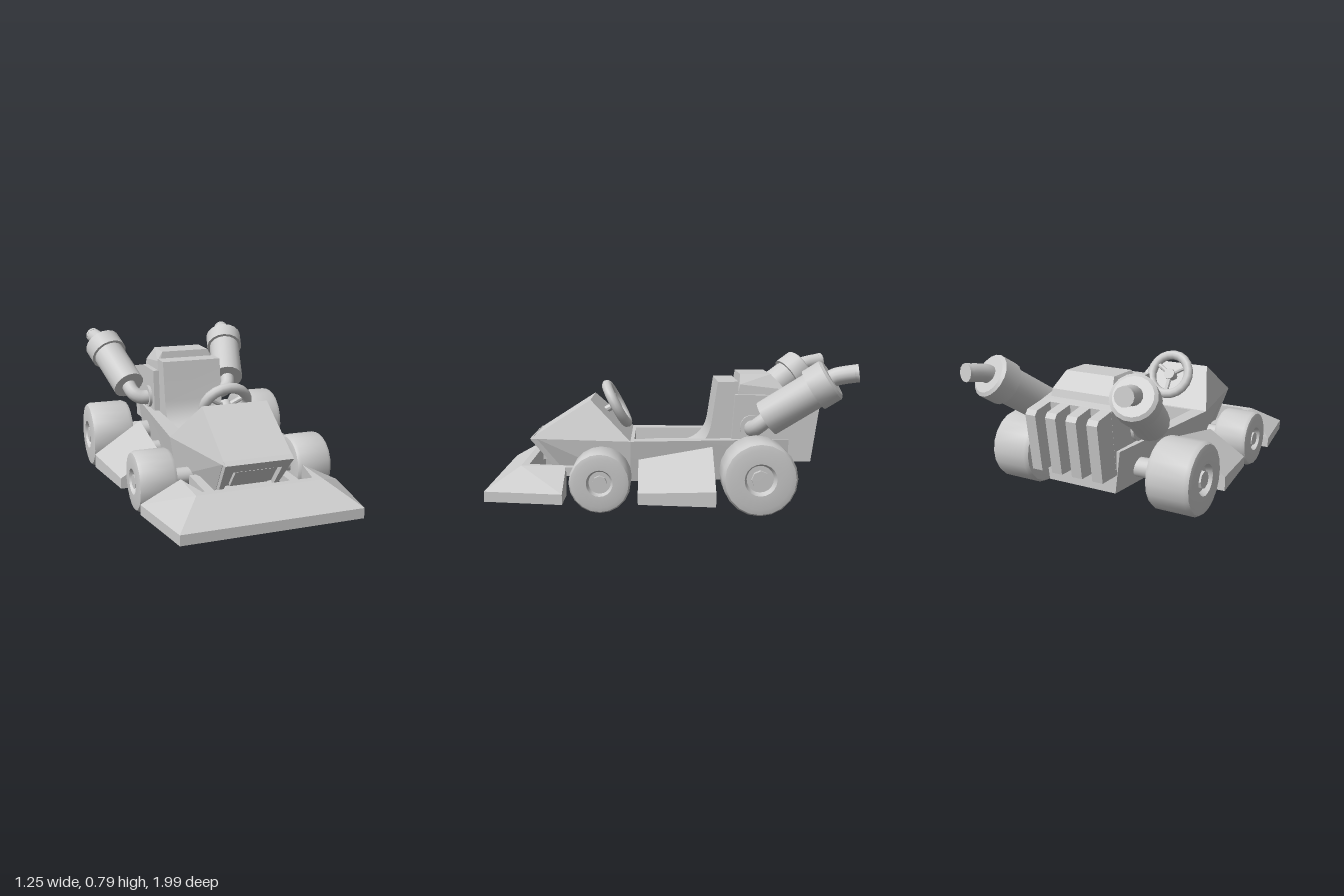
import * as THREE from 'three';
import { toCreasedNormals } from 'three/addons/utils/BufferGeometryUtils.js';
import { ConvexGeometry } from 'three/addons/geometries/ConvexGeometry.js';

const grey = new THREE.MeshStandardMaterial({ color: 0xcccccc });
const V = (x, y, z) => new THREE.Vector3(x, y, z);

function add(parent, name, geometry, crease = 0.6) {
  const mesh = new THREE.Mesh(toCreasedNormals(geometry, crease), grey);
  mesh.name = name;
  parent.add(mesh);
  return mesh;
}

function box(parent, name, [w, h, d], [x, y, z]) {
  return add(parent, name, new THREE.BoxGeometry(w, h, d).translate(x, y, z));
}

// Cylinder between two points
function rod(parent, name, a, b, radius, sides = 14) {
  const dir = b.clone().sub(a);
  const mesh = add(parent, name, new THREE.CylinderGeometry(radius, radius, dir.length(), sides));
  mesh.position.copy(a).add(b).multiplyScalar(0.5);
  mesh.quaternion.setFromUnitVectors(V(0, 1, 0), dir.normalize());
  return mesh;
}

function pipe(parent, name, points, radius) {
  const curve = new THREE.CatmullRomCurve3(points);
  return add(parent, name, new THREE.TubeGeometry(curve, 12, radius, 14), 1);
}

// Side profile given as a (z, y) shape, extruded across the width
function profile(parent, name, shape, width, x = 0) {
  const g = new THREE.ExtrudeGeometry(shape, { depth: width, bevelEnabled: false, curveSegments: 8 });
  g.translate(0, 0, -width / 2).rotateY(-Math.PI / 2).translate(x, 0, 0);
  return add(parent, name, g);
}

const outline = (pts) => new THREE.Shape(pts.map(([a, b]) => new THREE.Vector2(a, b)));

// Convex solid, points mirrored in x
function symmetricHull(parent, name, pts) {
  const all = pts.flatMap(([x, y, z]) => [V(x, y, z), V(-x, y, z)]);
  return add(parent, name, new ConvexGeometry(all), 0.05);
}

function hull(parent, name, pts) {
  return add(parent, name, new ConvexGeometry(pts.map((p) => V(...p))), 0.05);
}

function wheel(parent, name, r, width, [x, y, z]) {
  const g = new THREE.Group();
  g.name = name;
  const h = width / 2;
  const pts = [[0, -0.8], [0.36, -0.8], [0.43, -1], [0.8, -1], [0.94, -0.95], [1, -0.78], [1, 0.78],
    [0.94, 0.95], [0.8, 1], [0.43, 1], [0.36, 0.75], [0, 0.75]];
  const tyre = new THREE.LatheGeometry(pts.map(([a, b]) => new THREE.Vector2(a * r, b * h)), 20);
  add(g, 'tyre', tyre.rotateZ(-Math.PI / 2), 0.8);
  rod(g, 'wheelNut', V(h * 0.6, 0, 0), V(h * 0.95, 0, 0), r * 0.24, 8);
  g.position.set(x, y, z);
  parent.add(g);
}

// Everything on one side of the kart
function sideParts(sign) {
  const g = new THREE.Group();
  g.name = sign > 0 ? 'leftSide' : 'rightSide';
  wheel(g, 'frontWheel', 0.163, 0.21, [0.445, 0.17, 0.385]);
  wheel(g, 'rearWheel', 0.197, 0.255, [0.4925, 0.2, -0.45]);
  rod(g, 'frontAxle', V(0.1, 0.17, 0.385), V(0.38, 0.17, 0.385), 0.045);
  rod(g, 'rearAxle', V(0.1, 0.2, -0.45), V(0.42, 0.2, -0.45), 0.055);

  // Side pod with sloping top
  hull(g, 'sidePod', [
    [0.345, 0.06, 0.185], [0.345, 0.255, 0.185], [0.565, 0.06, 0.185], [0.565, 0.12, 0.185],
    [0.345, 0.06, -0.22], [0.345, 0.325, -0.22], [0.625, 0.06, -0.22], [0.625, 0.14, -0.22]]);
  for (const z of [0.11, -0.15]) rod(g, 'podRod', V(0.2, 0.17, z), V(0.37, 0.17, z), 0.04);

  // Bumper arm and strut
  hull(g, 'bumperArm', [
    [0.56, 0.06, 0.58], [0.56, 0.115, 0.58], [0.345, 0.06, 0.58], [0.345, 0.225, 0.58],
    [0.3, 0.06, 0.785], [0.3, 0.225, 0.785], [0.345, 0.225, 0.825], [0.3, 0.225, 0.825],
    [0.485, 0.06, 1], [0.485, 0.115, 1], [0.3, 0.06, 0.83]]);
  box(g, 'bumperStrut', [0.05, 0.05, 0.36], [0.235, 0.17, 0.64]);

  // Exhaust: elbow, muffler, collar and tip
  const a = V(0.335, 0.48, -0.515), b = V(0.43, 0.705, -0.845);
  const at = (t) => a.clone().lerp(b, t);
  rod(g, 'exhaustFlange', V(0.2, 0.415, -0.45), V(0.235, 0.415, -0.45), 0.068);
  pipe(g, 'exhaustElbow', [V(0.19, 0.415, -0.45), V(0.265, 0.41, -0.45), V(0.315, 0.435, -0.47), at(0.08)], 0.045);
  rod(g, 'muffler', at(0), at(0.8), 0.1, 18);
  rod(g, 'mufflerCollar', at(0.72), at(0.97), 0.118, 18);
  const rim = rod(g, 'mufflerRim', at(0.97), at(1), 1, 18);
  rim.geometry = toCreasedNormals(new THREE.CylinderGeometry(0.1, 0.118, a.distanceTo(b) * 0.03, 18), 0.4);
  pipe(g, 'exhaustTip', [at(0.93), at(1.04), V(0.445, 0.725, -0.9), V(0.462, 0.737, -0.975)], 0.048);
  const end = rod(g, 'exhaustTipEnd', V(0.458, 0.735, -0.955), V(0.463, 0.738, -0.977), 0.048);
  end.name = 'exhaustTipEnd';
  g.scale.x = sign;
  return g;
}

function chassis(parent) {
  // Tub: tapered outline with open cockpit, walls leaning in towards the bottom
  const shape = outline([[-0.293, -0.23], [0.293, -0.23], [0.237, 0.655], [-0.237, 0.655]]);
  shape.holes.push(new THREE.Path([[-0.2, -0.21], [-0.185, 0.62], [0.185, 0.62], [0.2, -0.21]]
    .map(([x, y]) => new THREE.Vector2(x, y))));
  const tub = new THREE.ExtrudeGeometry(shape, { depth: 0.23, bevelEnabled: false });
  tub.rotateX(-Math.PI / 2).translate(0, 0.115, 0);
  const p = tub.attributes.position;
  for (let i = 0; i < p.count; i++) {
    if (p.getY(i) < 0.2) p.setX(i, p.getX(i) * 0.88);
  }
  tub.computeVertexNormals();
  add(parent, 'tub', tub, 0.3);
  box(parent, 'floor', [0.37, 0.06, 0.85], [0, 0.165, -0.21]);
}

function nose(parent) {
  symmetricHull(parent, 'noseCowl', [[0.185, 0.565, 0.455], [0.293, 0.345, 0.23], [0.185, 0.345, 0.8]]);
  symmetricHull(parent, 'noseLower', [
    [0.293, 0.345, 0.23], [0.258, 0.115, 0.23], [0.185, 0.345, 0.762], [0.16, 0.115, 0.577]]);
  // Sloping front plate with a recessed grille
  const grille = new THREE.Group();
  grille.name = 'noseGrille';
  const plate = outline([[-0.185, 0], [-0.16, -0.295], [0.16, -0.295], [0.185, 0]]);
  plate.holes.push(new THREE.Path([[-0.14, -0.064], [0.14, -0.064], [0.14, -0.24], [-0.14, -0.24]]
    .map(([x, y]) => new THREE.Vector2(x, y))));
  const g = new THREE.ExtrudeGeometry(plate, { depth: 0.03, bevelEnabled: false }).translate(0, 0, -0.03);
  add(grille, 'grilleFrame', g);
  box(grille, 'grillePanel', [0.21, 0.13, 0.02], [0, -0.152, -0.022]);
  grille.position.set(0, 0.345, 0.8);
  grille.rotation.x = Math.atan2(0.185, 0.23);
  parent.add(grille);
}

function seatAndEngine(parent) {
  const s = new THREE.Shape();
  s.moveTo(-0.26, 0.665);
  s.lineTo(-0.375, 0.665);
  s.lineTo(-0.375, 0.18);
  s.lineTo(0.1, 0.18);
  s.lineTo(0.1, 0.28);
  s.lineTo(-0.1, 0.28);
  s.quadraticCurveTo(-0.205, 0.31, -0.225, 0.43);
  profile(parent, 'seat', s, 0.365);

  profile(parent, 'engineBlock', outline([
    [-0.355, 0.595], [-0.6, 0.59], [-0.7, 0.565], [-0.66, 0.215], [-0.33, 0.25]]), 0.435);
  symmetricHull(parent, 'engineCover', [
    [0.185, 0.58, -0.65], [0.185, 0.58, -0.37], [0.182, 0.62, -0.64], [0.182, 0.65, -0.385],
    [0.148, 0.705, -0.56], [0.148, 0.705, -0.388]]);
  // Cooling fins
  for (let i = 0; i < 4; i++) {
    profile(parent, 'coolingFin', outline([
      [-0.62, 0.58], [-0.81, 0.545], [-0.828, 0.52], [-0.785, 0.215], [-0.64, 0.215]]), 0.062, -0.186 + i * 0.124);
  }
}

function steering(parent) {
  const g = new THREE.Group();
  g.name = 'steeringWheel';
  add(g, 'rim', new THREE.TorusGeometry(0.125, 0.029, 10, 20), 1);
  for (let i = 0; i < 3; i++) {
    const t = -Math.PI / 2 + (i * Math.PI * 2) / 3;
    rod(g, 'spoke', V(0, 0, 0.01), V(Math.cos(t) * 0.12, Math.sin(t) * 0.12, 0), 0.014, 8);
  }
  rod(g, 'hub', V(0, 0, -0.015), V(0, 0, 0.03), 0.035, 12);
  rod(g, 'column', V(0, 0, 0), V(0, 0, 0.16), 0.02, 10);
  g.position.set(0, 0.52, 0.315);
  g.rotation.x = 0.49;
  parent.add(g);
}

export function createModel() {
  const kart = new THREE.Group();
  kart.name = 'kart';
  chassis(kart);
  nose(kart);
  seatAndEngine(kart);
  steering(kart);
  // Bumper bar across the front
  symmetricHull(kart, 'frontBumper', [
    [0.485, 0.06, 1], [0.485, 0.115, 1], [0.345, 0.225, 0.825], [0.3, 0.225, 0.785],
    [0.3, 0.06, 0.785], [0.345, 0.06, 0.825]]);
  for (const sign of [1, -1]) kart.add(sideParts(sign));
  return kart;
}
